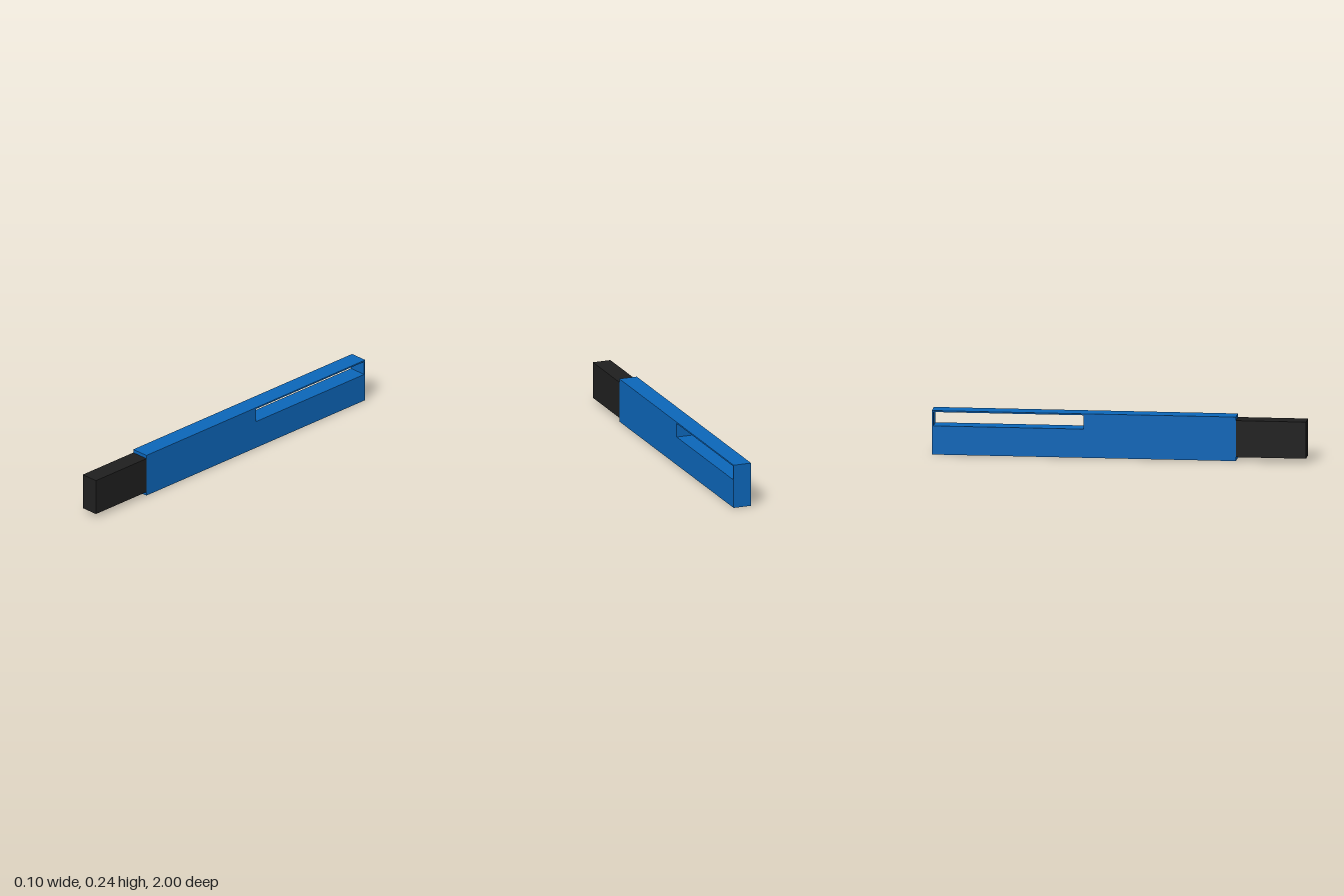
import * as THREE from 'three';

const WIDTH = 0.1;

// Rectangle corners in the side plane (u = -z, v = y)
function rectangle(target, zFront, zBack, y0, y1) {
  target.moveTo(-zFront, y0);
  target.lineTo(-zBack, y0);
  target.lineTo(-zBack, y1);
  target.lineTo(-zFront, y1);
  target.closePath();
  return target;
}

export function createModel() {
  const model = new THREE.Group();
  const blue = new THREE.MeshStandardMaterial({ color: 0x0c66b9 });
  const black = new THREE.MeshStandardMaterial({ color: 0x1f1f1f });

  // Long body with a slot cut through its sides near the back
  const side = rectangle(new THREE.Shape(), 0.625, -1, 0, 0.238);
  side.holes.push(rectangle(new THREE.Path(), -0.19, -0.992, 0.155, 0.23));
  const bodyGeometry = new THREE.ExtrudeGeometry(side, { depth: WIDTH, bevelEnabled: false });
  bodyGeometry.translate(0, 0, -WIDTH / 2).rotateY(Math.PI / 2);
  const body = new THREE.Mesh(bodyGeometry, blue);
  body.name = 'slottedBody';
  model.add(body);

  // Shorter block at the front end
  const tip = new THREE.Mesh(new THREE.BoxGeometry(WIDTH, 0.198, 0.375), black);
  tip.position.set(0, 0.12, 0.8125);
  tip.name = 'frontBlock';
  model.add(tip);

  return model;
}
